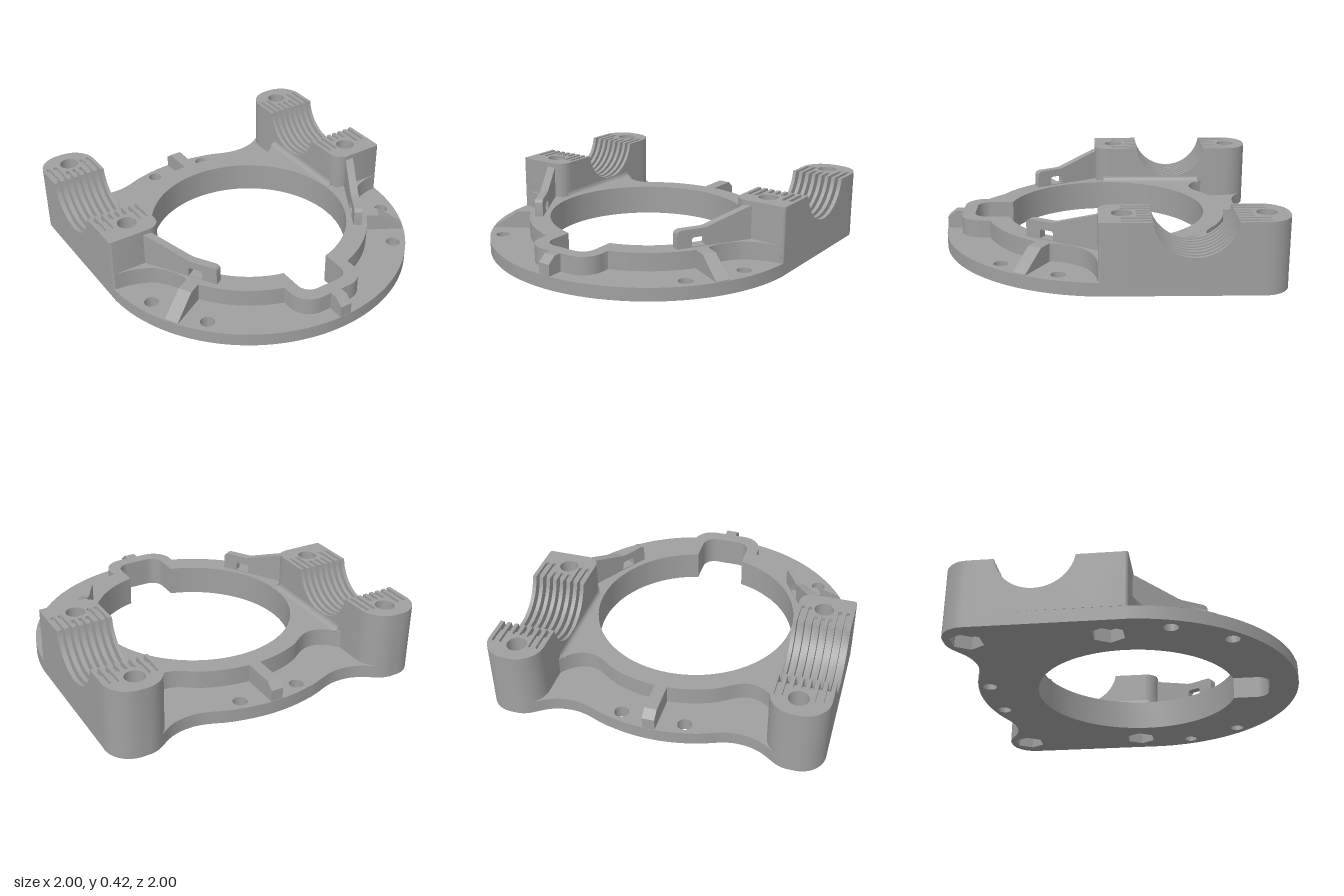
import * as THREE from 'three';
import { toCreasedNormals } from 'three/addons/utils/BufferGeometryUtils.js';

const metal = new THREE.MeshStandardMaterial({ color: 0xa0a0a0 });
metal.name = 'cast grey metal';

// Plan outlines are drawn in (x, v) with v = -z
const BASE_TOP = 0.08, RIM_TOP = 0.19, SLOT_FLOOR = 0.4, BLOCK_TOP = 0.42;
const BOLTS = [0.87, 0.07];
const GROOVES = [0.693, 0.738, 0.784, 0.829, 0.874, 0.919, 0.965];
const GROOVE_HALF = 0.011;

function part(name, geometry) {
  const mesh = new THREE.Mesh(toCreasedNormals(geometry, 0.5), metal);
  mesh.name = name;
  return mesh;
}

// Plan shape raised from y0 to y1
function slab(name, shape, y0, y1) {
  const g = new THREE.ExtrudeGeometry(shape, { depth: y1 - y0, bevelEnabled: false, curveSegments: 32 });
  g.rotateX(-Math.PI / 2).translate(0, y0, 0);
  return part(name, g);
}

// Side profile in (-z, y) swept along x
function sweepX(name, shape, x0, x1) {
  const g = new THREE.ExtrudeGeometry(shape, { depth: x1 - x0, bevelEnabled: false, curveSegments: 24 });
  g.rotateY(Math.PI / 2).translate(x0, 0, 0);
  return part(name, g);
}

// Full outline from its +x half, which starts and ends on x = 0
function mirrored(path) {
  const half = path.getPoints(24);
  const other = half.slice(1, -1).reverse().map((p) => new THREE.Vector2(-p.x, p.y));
  return new THREE.Shape([...half, ...other]);
}

function circle(x, v, r, sides = 32) {
  const pts = [];
  for (let i = 0; i < sides; i++) {
    const a = (i / sides) * Math.PI * 2;
    pts.push(new THREE.Vector2(x + r * Math.cos(a), v + r * Math.sin(a)));
  }
  return new THREE.Path(pts);
}

// Central bore with the keyway at the front
function bore() {
  const a = Math.asin(0.155 / 0.62), p = new THREE.Path();
  p.absarc(0, 0, 0.62, -Math.PI / 2 + a, 1.5 * Math.PI - a, false);
  p.lineTo(-0.155, -0.74);
  p.absarc(-0.075, -0.74, 0.08, Math.PI, 1.5 * Math.PI, false);
  p.absarc(0.075, -0.74, 0.08, -Math.PI / 2, 0, false);
  p.closePath();
  return new THREE.Path(p.getPoints(40));
}

function basePlate() {
  const p = new THREE.Path();
  p.absarc(0, 0, 1, -Math.PI / 2, -0.06, false);
  p.lineTo(1, 0.85);
  p.absarc(0.85, 0.85, 0.15, 0, Math.PI / 2, false);
  p.lineTo(0.81, 1);
  p.bezierCurveTo(0.7, 1, 0.68, 0.89, 0.5, 0.89);
  p.bezierCurveTo(0.4, 0.89, 0.33, 0.945, 0.24, 0.96);
  p.quadraticCurveTo(0.12, 0.99, 0, 0.99);
  const shape = mirrored(p);
  shape.holes.push(bore());
  for (const s of [-1, 1]) {
    for (const [x, v] of [[0.19, 0.9], [0.87, -0.28], [0.69, -0.61]]) shape.holes.push(circle(s * x, v, 0.043));
    // hexagonal nut pockets
    for (const v of BOLTS) shape.holes.push(circle(s * 0.82, v, 0.1, 6));
  }
  return slab('basePlate', shape, 0, BASE_TOP);
}

function raisedRim() {
  const p = new THREE.Path();
  p.moveTo(0, -0.9);
  p.lineTo(0.1, -0.9);
  p.absarc(0.1, -0.77, 0.13, -Math.PI / 2, 0, false);
  p.lineTo(0.23, -0.714);
  p.absarc(0, 0, 0.75, -1.259, -0.56, false);
  p.lineTo(0.67, -0.36);
  p.bezierCurveTo(0.64, -0.3, 0.7, -0.2, 0.76, -0.14);
  p.quadraticCurveTo(0.85, -0.07, 0.985, -0.062);
  p.lineTo(0.985, -0.05);
  p.lineTo(0.67, -0.05);
  p.lineTo(0.67, 0.7);
  p.bezierCurveTo(0.62, 0.62, 0.56, 0.585, 0.5, 0.585);
  p.bezierCurveTo(0.43, 0.585, 0.38, 0.64, 0.32, 0.673);
  p.absarc(0, 0, 0.745, 1.127, Math.PI / 2, false);
  const shape = mirrored(p);
  shape.holes.push(bore());
  return slab('raisedRim', shape, BASE_TOP, RIM_TOP);
}

// Radial rib given by its (radius, y) profile; angle is turned from the front towards +x
function radialRib(name, profile, halfWidth, angle) {
  const shape = new THREE.Shape(profile.map(([r, y]) => new THREE.Vector2(-r, y)));
  const rib = sweepX(name, shape, -halfWidth, halfWidth);
  rib.rotation.y = angle;
  return rib;
}

// Solid end of a bearing block; d runs outward from the saddle at v0
function addPost(block, name, v0, dir, outerR, innerR) {
  const outline = (notched) => {
    const pts = [[0.66, 0]];
    if (notched) {
      for (const g of GROOVES.filter((x) => Math.abs(x - 0.829) > 0.06)) {
        pts.push([g - GROOVE_HALF, 0], [g - GROOVE_HALF, 0.08], [g, 0.09], [g + GROOVE_HALF, 0.08], [g + GROOVE_HALF, 0]);
      }
    }
    pts.push([1, 0]);
    const corner = (x, r, a0) => {
      for (let i = 0; i <= 10; i++) {
        const a = a0 + (i / 20) * Math.PI;
        pts.push([x + r * Math.cos(a), 0.21 - r + r * Math.sin(a)]);
      }
    };
    corner(1 - outerR, outerR, 0);
    corner(0.66 + innerR, innerR, Math.PI / 2);
    const shape = new THREE.Shape(pts.map(([x, d]) => new THREE.Vector2(x, v0 + dir * d)));
    shape.holes.push(circle(0.82, v0 + dir * 0.08, 0.058));
    return shape;
  };
  block.add(slab(name, outline(false), BASE_TOP, SLOT_FLOOR));
  block.add(slab(name + 'Top', outline(true), SLOT_FLOOR, BLOCK_TOP));
}

// Slice of the half-round saddle
function saddleSlice(name, radius, top, x0, x1) {
  const a = Math.asin((0.455 - top) / radius), s = new THREE.Shape();
  s.moveTo(0.15, BASE_TOP);
  s.lineTo(0.79, BASE_TOP);
  s.lineTo(0.79, top);
  s.absarc(0.465, 0.455, radius, -a, -Math.PI + a, true);
  s.lineTo(0.15, top);
  s.closePath();
  return sweepX(name, s, x0, x1);
}

function bearingBlock() {
  const block = new THREE.Group();
  addPost(block, 'rearPost', 0.79, 1, 0.15, 0.15);
  addPost(block, 'frontPost', 0.15, -1, 0.015, 0.08);
  let x = 0.66;
  for (const g of GROOVES) {
    block.add(saddleSlice('saddleRidge', 0.235, BLOCK_TOP, x, g - GROOVE_HALF));
    block.add(saddleSlice('saddleGroove', 0.29, SLOT_FLOOR, g - GROOVE_HALF, g + GROOVE_HALF));
    x = g + GROOVE_HALF;
  }
  block.add(saddleSlice('saddleRidge', 0.235, BLOCK_TOP, x, 1));

  // Concave fillet where the block meets the rim
  const f = new THREE.Shape();
  f.moveTo(0.665, RIM_TOP - 0.01);
  f.lineTo(0.625, RIM_TOP - 0.01);
  f.lineTo(0.625, RIM_TOP);
  f.quadraticCurveTo(0.66, RIM_TOP, 0.66, RIM_TOP + 0.035);
  f.lineTo(0.665, RIM_TOP + 0.035);
  const fillet = new THREE.ExtrudeGeometry(f, { depth: 0.66, bevelEnabled: false });
  block.add(part('blockFillet', fillet.translate(0, 0, -0.66)));
  return block;
}

// Diagonal stiffener with a small window, from block to rim
function gusset() {
  const s = new THREE.Shape();
  s.moveTo(-0.06, 0.15);
  s.lineTo(0.465, 0.15);
  s.lineTo(0.465, 0.27);
  s.quadraticCurveTo(0.465, 0.3, 0.43, 0.3);
  s.lineTo(0.31, 0.3);
  s.quadraticCurveTo(0.28, 0.3, 0.25, 0.312);
  s.lineTo(0, 0.392);
  s.lineTo(-0.06, 0.392);
  s.holes.push(new THREE.Path([[0.28, 0.195], [0.37, 0.195], [0.37, 0.24], [0.36, 0.25], [0.29, 0.25], [0.28, 0.24]]
    .map(([x, y]) => new THREE.Vector2(x, y))));
  const g = new THREE.ExtrudeGeometry(s, { depth: 0.05, bevelEnabled: false });
  g.translate(0, 0, -0.025);
  const mesh = part('gusset', g);
  mesh.position.set(0.755, 0, 0.06);
  mesh.rotation.y = Math.atan2(-0.41, -0.245);
  return mesh;
}

export function createModel() {
  const model = new THREE.Group();
  model.name = 'bearingBracket';
  model.add(basePlate(), raisedRim());

  const steep = (r0, r1) => [[r0, 0.07], [r1, 0.07], [r1, 0.15], [r1 - 0.05, RIM_TOP], [r0, RIM_TOP]];
  model.add(radialRib('frontRib', steep(0.87, 0.998), 0.037, 0));
  model.add(radialRib('rearRib', steep(0.72, 0.987), 0.037, Math.PI));

  for (const side of [1, -1]) {
    const half = new THREE.Group();
    half.name = side > 0 ? 'leftSide' : 'rightSide';
    const block = bearingBlock();
    block.name = 'bearingBlock';
    half.add(block, gusset());
    half.add(radialRib('sideRib', [[0.7, 0.07], [0.995, 0.07], [0.995, 0.085], [0.83, RIM_TOP], [0.7, RIM_TOP]], 0.042, Math.PI / 3));
    half.scale.x = side;
    model.add(half);
  }
  return model;
}
